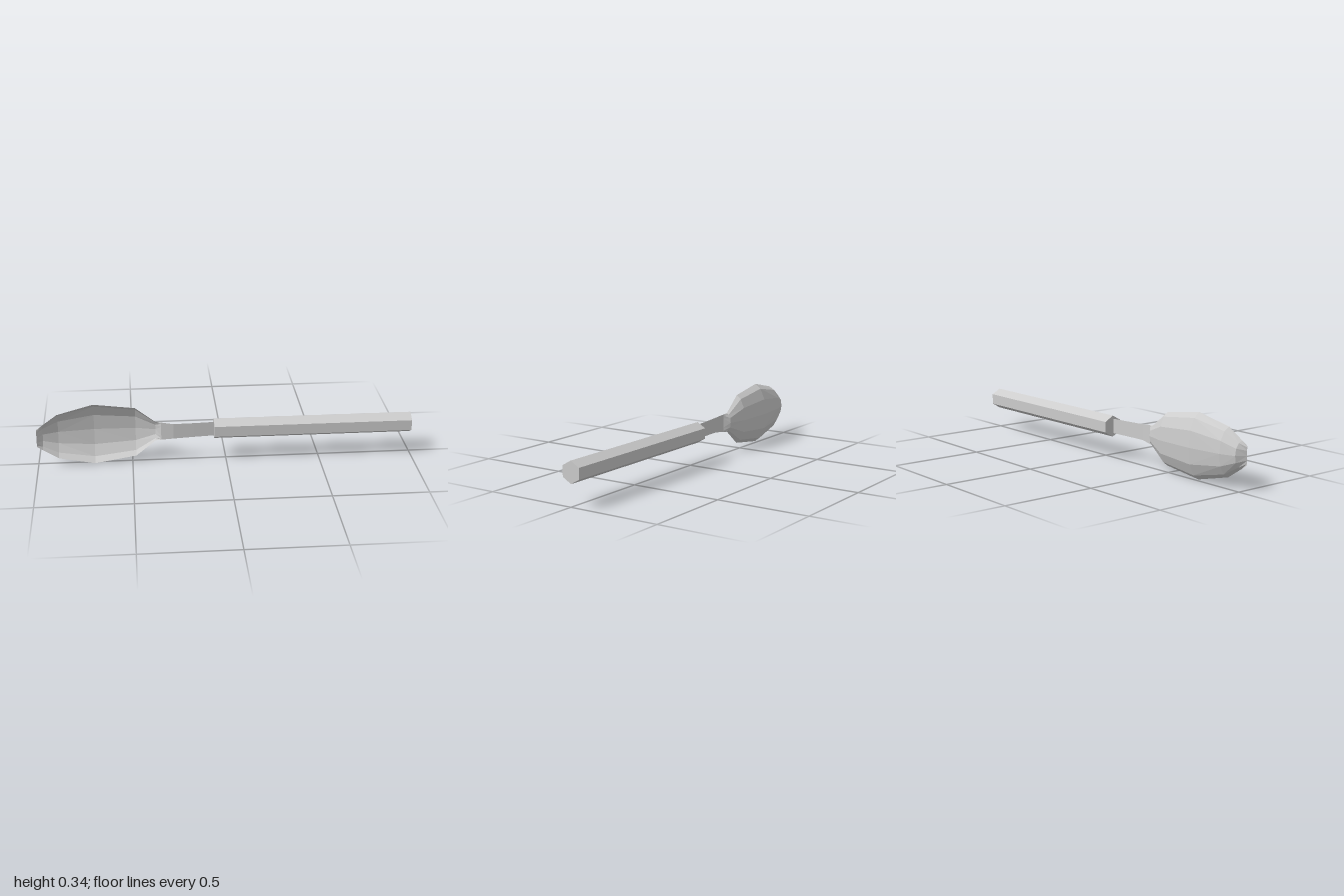
import * as THREE from 'three';

const AXIS_Y = 0.171;

// Cross-section of the sheet: fraction of half-width, fraction of depth
const SECTION = [[1, 0], [0.85, 0.49], [0.5, 0.88], [0, 1], [-0.5, 0.88], [-0.85, 0.49], [-1, 0]];

// Lofts a thin sheet along x through stations of [x, halfWidth, rimZ, floorZ]
function loftSheet(stations, section) {
  const positions = [];
  const index = [];
  const n = section.length;
  for (const [x, w, rimZ, floorZ] of stations) {
    for (const [across, depth] of section) {
      positions.push(x, AXIS_Y + across * w, rimZ + (floorZ - rimZ) * depth);
    }
  }
  for (let i = 0; i < stations.length - 1; i++) {
    for (let j = 0; j < n - 1; j++) {
      const a = i * n + j, b = a + 1, c = a + n, d = c + 1;
      // Mirror the diagonals about the centre line
      if (j < (n - 1) / 2) index.push(a, b, c, b, d, c);
      else index.push(a, b, d, a, d, c);
    }
  }
  const geometry = new THREE.BufferGeometry();
  geometry.setAttribute('position', new THREE.Float32BufferAttribute(positions, 3));
  geometry.setIndex(index);
  const flat = geometry.toNonIndexed();
  flat.computeVertexNormals();
  return flat;
}

export function createModel() {
  const group = new THREE.Group();
  const metal = new THREE.MeshStandardMaterial({ color: 0xcccccc, flatShading: true, side: THREE.DoubleSide });
  metal.name = 'light grey metal';

  const add = (name, geometry) => {
    const mesh = new THREE.Mesh(geometry, metal);
    mesh.name = name;
    group.add(mesh);
    return mesh;
  };

  // Shallow faceted bowl, open towards the front
  add('bowl', loftSheet([
    [-1, 0.048, 0.05, 0.05],
    [-0.97, 0.07, 0.046, 0.0],
    [-0.89, 0.125, 0.037, -0.027],
    [-0.70, 0.17, 0.02, -0.049],
    [-0.48, 0.138, 0.01, -0.045],
    [-0.375, 0.054, 0.007, -0.018],
    [-0.345, 0.05, 0.01, 0.01],
  ], SECTION));

  // Flat, slightly bent strip joining bowl and handle
  add('neck', loftSheet([
    [-0.345, 0.05, 0.01, 0.01],
    [-0.28, 0.042, 0.018, 0.018],
    [-0.17, 0.04, 0.01, 0.01],
    [-0.05, 0.039, 0.0, 0.0],
  ], [[1, 0], [0, 0], [-1, 0]]));

  // Hexagonal handle with its ridges at top and bottom
  const bar = new THREE.CylinderGeometry(0.057, 0.057, 1.063, 6, 1, false, Math.PI / 2);
  bar.rotateZ(Math.PI / 2);
  add('handle', bar).position.set(0.4685, AXIS_Y, -0.004);

  return group;
}
